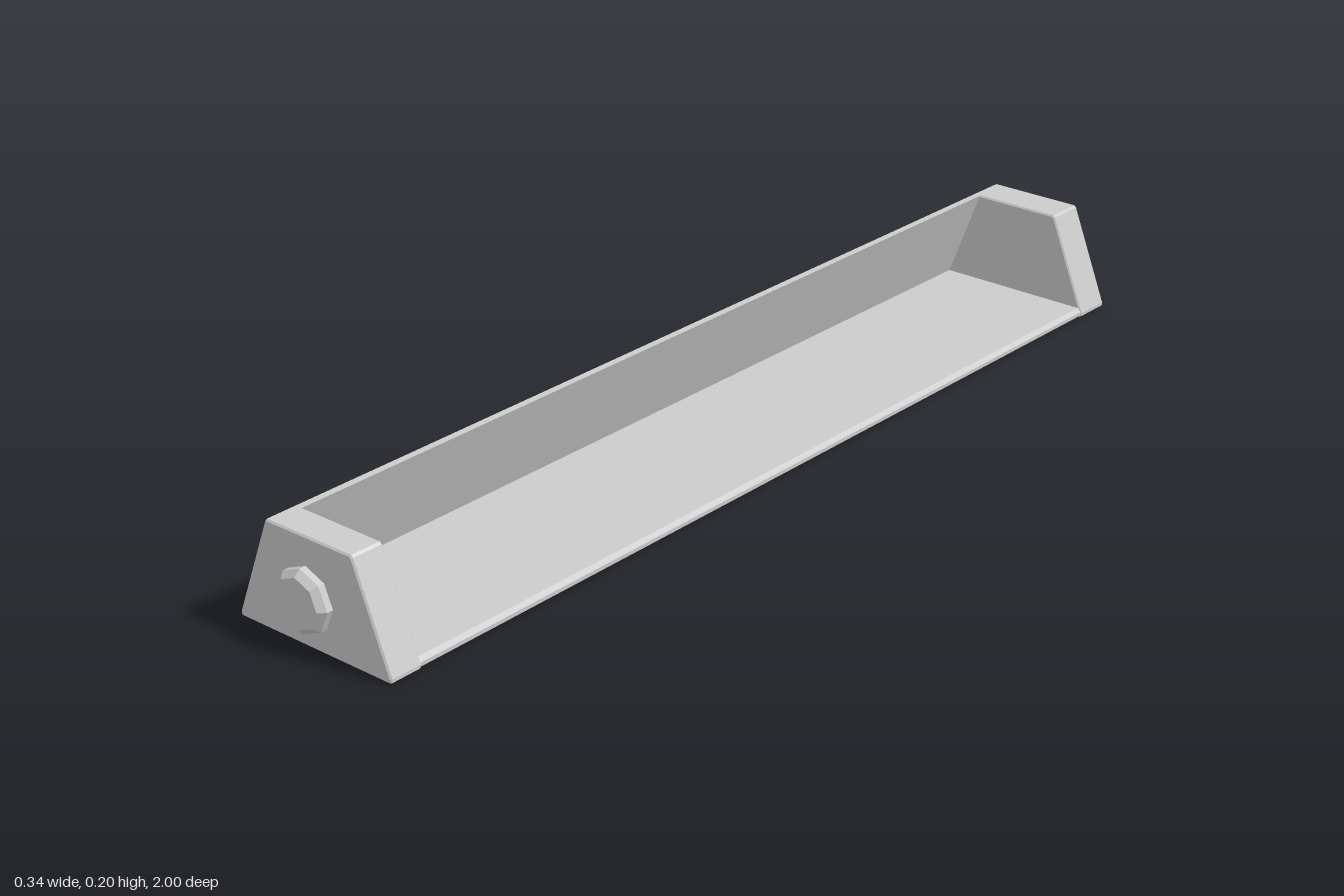
import * as THREE from 'three';

const material = new THREE.MeshStandardMaterial({ color: 0xcccccc, flatShading: true });

// Extrudes an outline in the xy plane between two z positions.
function prism(name, points, z0, z1, bevel = 0) {
  const shape = new THREE.Shape(points.map(([x, y]) => new THREE.Vector2(x, y)));
  const geometry = new THREE.ExtrudeGeometry(shape, {
    depth: z1 - z0 - 2 * bevel,
    bevelEnabled: bevel > 0,
    bevelSize: bevel,
    bevelThickness: bevel,
    bevelOffset: -bevel,
    bevelSegments: 1,
  });
  geometry.translate(0, 0, z0 + bevel);
  const mesh = new THREE.Mesh(geometry, material);
  mesh.name = name;
  return mesh;
}

// Octagonal end knob: a straight collar with a chamfered face.
function knob(name, side) {
  const group = new THREE.Group();
  group.name = name;
  const add = (rTop, rBottom, from, to) => {
    const geometry = new THREE.CylinderGeometry(rTop, rBottom, to - from, 8);
    geometry.rotateX(Math.PI / 2).translate(0, 0, (from + to) / 2);
    group.add(new THREE.Mesh(geometry, material));
  };
  add(0.057, 0.057, 0.965, 0.988);
  add(0.046, 0.057, 0.988, 1.0);
  group.position.set(-0.008, 0.087, 0);
  if (side < 0) group.rotation.y = Math.PI;
  return group;
}

export function createModel() {
  const model = new THREE.Group();
  model.name = 'openTrough';

  // Floor and leaning long wall, one folded L section; open towards +x
  const section = [
    [-0.166, 0], [0.164, 0], [0.169, 0.004], [0.169, 0.011], [0.163, 0.019],
    [-0.148, 0.019], [-0.08, 0.196], [-0.094, 0.196], [-0.098, 0.192],
    [-0.171, 0.009], [-0.171, 0.003],
  ];
  model.add(prism('floorAndWall', section, -0.904, 0.916));

  // Solid trapezoid end caps with softened edges
  const cap = [
    [-0.167, 0], [0.167, 0], [0.171, 0.003], [0.171, 0.009],
    [0.098, 0.192], [0.094, 0.196], [-0.094, 0.196], [-0.098, 0.192],
    [-0.171, 0.009], [-0.171, 0.003],
  ];
  model.add(prism('frontCap', cap, 0.911, 0.976, 0.003));
  model.add(prism('backCap', cap, -0.978, -0.899, 0.003));

  // Knobs on both ends
  model.add(knob('frontKnob', 1), knob('backKnob', -1));
  return model;
}
